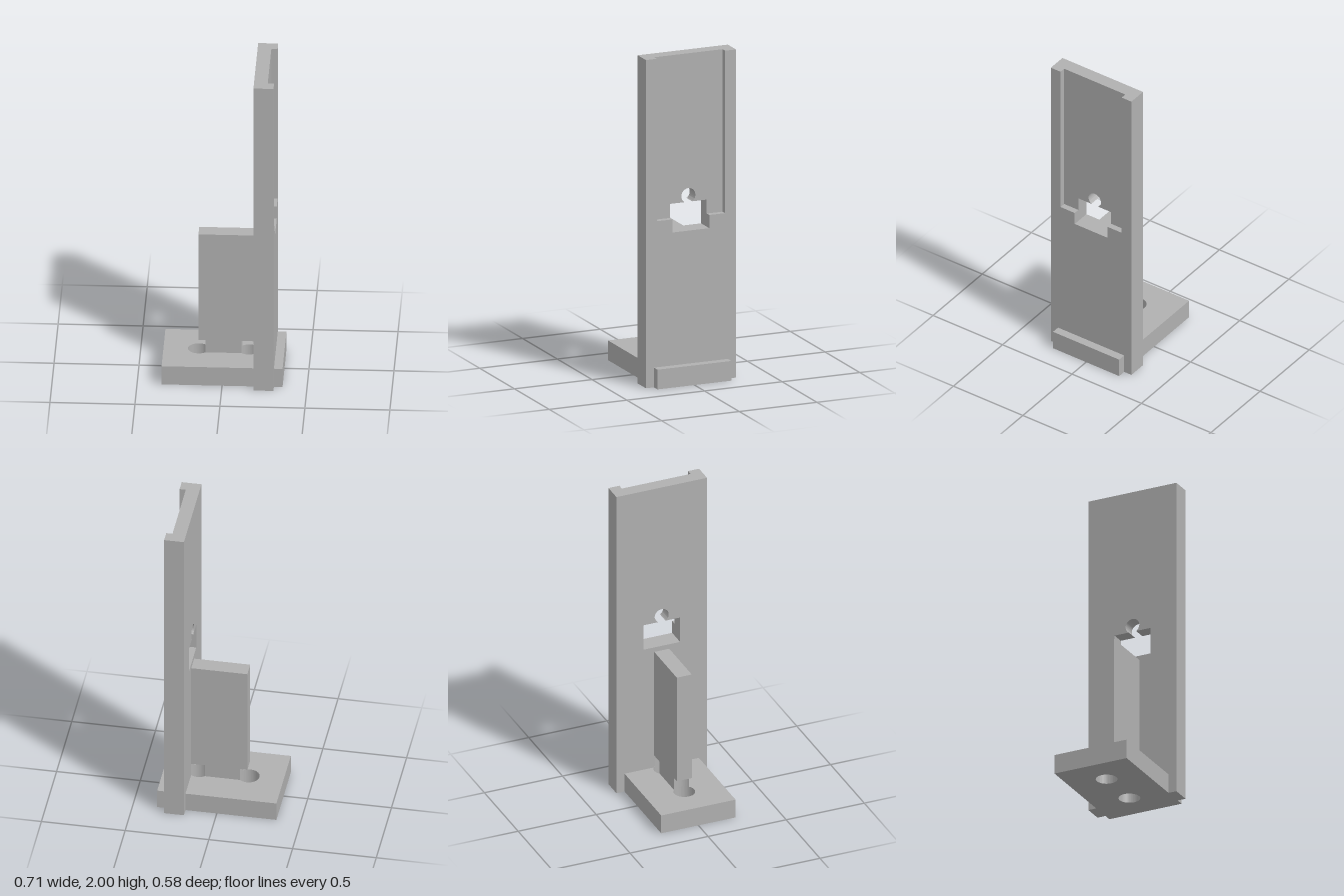
import * as THREE from 'three';
import { toCreasedNormals } from 'three/addons/utils/BufferGeometryUtils.js';

const HOLE_X = 0.148, HOLE_R = 0.064;        // screw holes
const PX0 = 0.187, PX1 = 0.268, PX2 = 0.305; // upright: front, pocket floor, back
const PW = 0.29, BX = 0.356, BZ = 0.238, RIB = 0.048;
const BASE_H = 0.12, CUT_H = 0.2, TOP = 2;

const poly = (pts) => new THREE.Shape(pts.map(([x, y]) => new THREE.Vector2(x, y)));

function extrude(shape, from, to) {
  const g = new THREE.ExtrudeGeometry(shape, { depth: to - from, bevelEnabled: false, curveSegments: 40 });
  return g.translate(0, 0, from);
}

export function createModel() {
  const group = new THREE.Group();
  const grey = new THREE.MeshStandardMaterial({ color: 0xb0b0b0 });
  grey.name = 'grey';

  const add = (name, geometry) => {
    const mesh = new THREE.Mesh(toCreasedNormals(geometry, 0.5), grey);
    mesh.name = name;
    group.add(mesh);
  };
  // Plan outlines (x, -z) rise along y; elevation outlines (-z, y) run along x
  const addPlan = (name, shape, y0, y1) => add(name, extrude(shape, y0, y1).rotateX(-Math.PI / 2));
  const addSide = (name, shape, x0, x1) => add(name, extrude(shape, x0, x1).rotateY(Math.PI / 2));

  // Base plate joined with the foot of the upright, two through holes
  const base = poly([
    [-BX, -BZ], [PX0, -BZ], [PX0, -PW], [PX2, -PW], [PX2, -BZ], [BX, -BZ],
    [BX, BZ], [PX2, BZ], [PX2, PW], [PX0, PW], [PX0, BZ], [-BX, BZ],
  ]);
  for (const x of [-HOLE_X, HOLE_X]) {
    base.holes.push(new THREE.Path().absarc(x, 0, HOLE_R, 0, Math.PI * 2, true));
  }
  addPlan('basePlate', base, 0, BASE_H);

  // Lower upright, scooped by the screw clearance
  const a = Math.acos((PX0 - HOLE_X) / HOLE_R);
  const foot = poly([[PX0, -PW], [PX2, -PW], [PX2, PW], [PX0, PW]]);
  foot.absarc(HOLE_X, 0, HOLE_R, a, -a, true);
  foot.closePath();
  addPlan('uprightFoot', foot, BASE_H, CUT_H);

  // Rib neck with concave ends between the screw clearances
  const b = Math.asin(RIB / HOLE_R);
  const dx = HOLE_X - HOLE_R * Math.cos(b);
  const neck = poly([[-dx, -RIB], [dx, -RIB]]);
  neck.absarc(HOLE_X, 0, HOLE_R, Math.PI + b, Math.PI - b, true);
  neck.lineTo(-dx, RIB);
  neck.absarc(-HOLE_X, 0, HOLE_R, b, -b, true);
  addPlan('ribNeck', neck, BASE_H, CUT_H);

  // Rib
  addPlan('rib', poly([[-0.148, -RIB], [PX0, -RIB], [PX0, RIB], [-0.148, RIB]]), CUT_H, 0.9);

  // Upright front layer with the window and its round relief
  const W = 0.118, W0 = 0.93, W1 = 1.095, CY = 1.133, CR = 0.045;
  const front = poly([[-PW, CUT_H], [PW, CUT_H], [PW, TOP], [-PW, TOP]]);
  const c = Math.asin((W1 - CY) / CR);
  const win = new THREE.Path();
  win.moveTo(-W, W0);
  win.lineTo(W, W0);
  win.lineTo(W, W1);
  win.lineTo(CR * Math.cos(c), W1);
  win.absarc(0, CY, CR, c, Math.PI - c, false);
  win.lineTo(-W, W1);
  win.closePath();
  front.holes.push(win);
  addSide('uprightPanel', front, PX0, PX1);

  // Upright back layer around the open-topped pocket
  const K = 0.22, KY = 1.01;
  addSide('uprightPocketFrame', poly([
    [-PW, CUT_H], [PW, CUT_H], [PW, TOP], [K, TOP], [K, KY], [W, KY],
    [W, W0], [-W, W0], [-W, KY], [-K, KY], [-K, TOP], [-PW, TOP],
  ]), PX1, PX2);

  return group;
}
